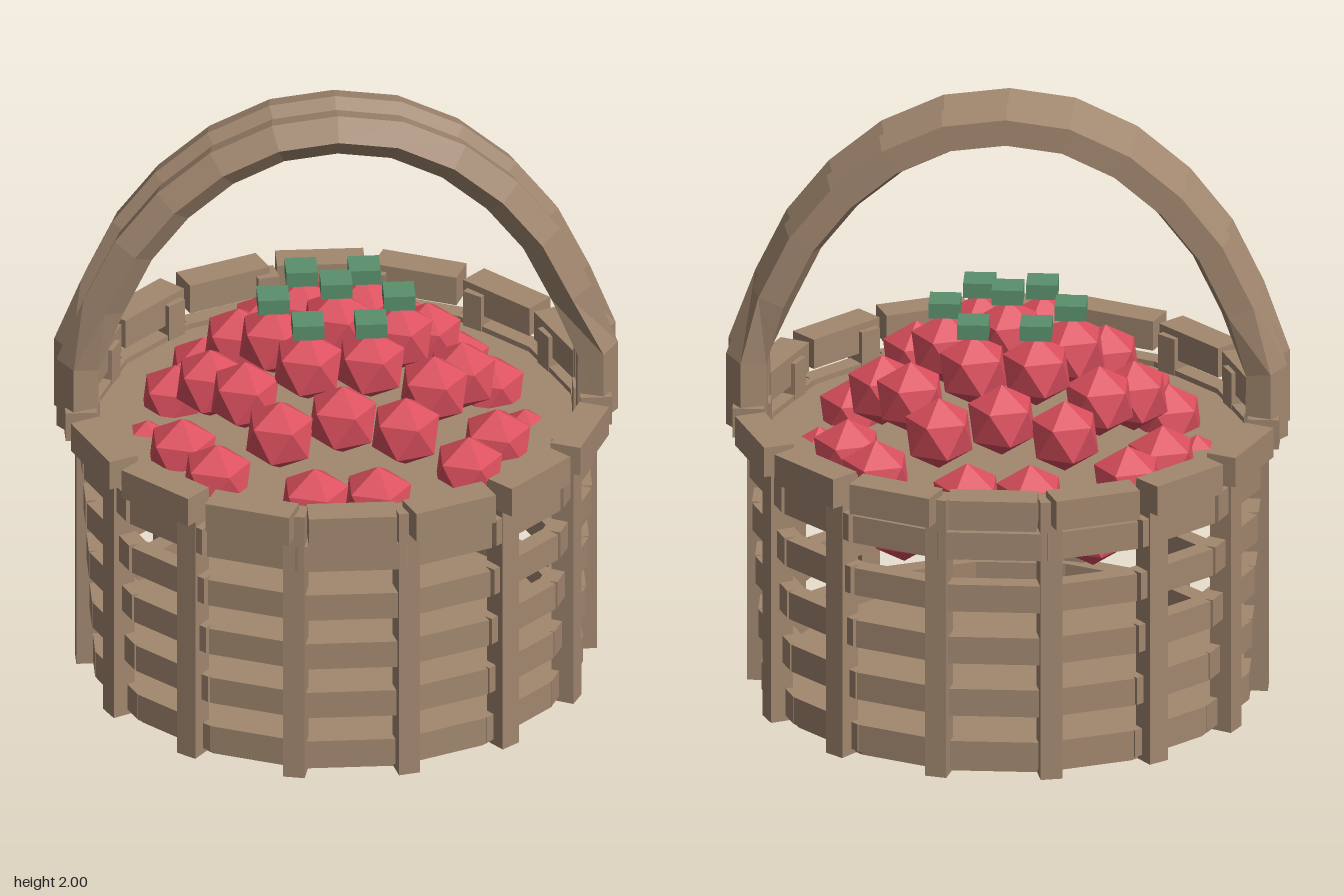
import * as THREE from 'three';

const mat = (color) => new THREE.MeshStandardMaterial({ color, flatShading: true });
const wood = mat(0xa1876f);
const red = mat(0xdb4f5e);
const green = mat(0x5a8f6b);

function add(parent, name, geometry, material, x = 0, y = 0, z = 0, turn = 0) {
  const mesh = new THREE.Mesh(geometry, material);
  mesh.name = name;
  mesh.position.set(x, y, z);
  mesh.rotation.y = turn;
  parent.add(mesh);
  return mesh;
}

// Boxes standing in a circle, each facing outward
function ring(parent, name, count, radius, y, size) {
  const group = new THREE.Group();
  group.name = name;
  const box = new THREE.BoxGeometry(...size);
  for (let i = 0; i < count; i++) {
    const a = Math.PI / 2 + (i / count) * Math.PI * 2;
    add(group, name + 'Piece', box, wood, Math.sin(a) * radius, y, Math.cos(a) * radius, a);
  }
  parent.add(group);
}

// Five-sided strand swept along the arch, turning slightly at its feet
function strandGeometry() {
  const half = [[0.82, 0.89], [0.82, 1.12], [0.745, 1.33], [0.65, 1.53], [0.525, 1.69], [0.37, 1.82], [0.19, 1.905]];
  const path = [...half, [0, 1.93], ...half.slice().reverse().map(([x, y]) => [-x, y])];
  const sides = 5, radius = 0.073, last = path.length - 1;
  const pos = [], index = [];
  path.forEach(([x, y], i) => {
    const p = path[Math.max(i - 1, 0)], n = path[Math.min(i + 1, last)];
    const t = new THREE.Vector2(n[0] - p[0], n[1] - p[1]).normalize();
    const foot = i < 2 || i > last - 2;
    const phase = THREE.MathUtils.degToRad(foot ? 90 : 70);
    for (let s = 0; s < sides; s++) {
      const a = phase + (s / sides) * Math.PI * 2;
      const out = Math.sin(a) * radius;
      pos.push(x + t.y * out, y - t.x * out, Math.cos(a) * radius);
    }
  });
  for (let i = 0; i < last; i++) {
    for (let s = 0; s < sides; s++) {
      const a = i * sides + s, b = i * sides + (s + 1) % sides;
      index.push(a, a + sides, b, b, a + sides, b + sides);
    }
  }
  // End caps
  const e = last * sides;
  for (let s = 1; s < sides - 1; s++) index.push(0, s, s + 1, e, e + s + 1, e + s);
  const g = new THREE.BufferGeometry();
  g.setAttribute('position', new THREE.Float32BufferAttribute(pos, 3));
  g.setIndex(index);
  // Make sure the faces point outward, judged by the signed volume
  let volume = 0;
  const v = [0, 1, 2].map(() => new THREE.Vector3());
  for (let i = 0; i < index.length; i += 3) {
    v.forEach((c, k) => c.fromArray(pos, index[i + k] * 3));
    volume += v[0].dot(v[1].clone().cross(v[2]));
  }
  if (volume < 0) g.setIndex(index.slice().reverse());
  const flat = g.toNonIndexed();
  flat.computeVertexNormals();
  return flat;
}

export function createModel() {
  const model = new THREE.Group();
  model.name = 'fruitBasket';

  // Floor and the shelf that carries the fruit
  add(model, 'floor', new THREE.CylinderGeometry(0.77, 0.77, 0.04, 16), wood, 0, 0.022, 0, Math.PI / 16);
  add(model, 'shelf', new THREE.CylinderGeometry(0.78, 0.78, 0.04, 16), wood, 0, 0.805, 0, Math.PI / 16);

  // Upright posts, horizontal bands widening upward, and the rim
  ring(model, 'posts', 14, 0.79, 0.475, [0.07, 0.95, 0.075]);
  for (let i = 0; i < 5; i++) {
    const outer = 0.775 + i * 0.01;
    ring(model, 'band', 16, outer - 0.03, 0.065 + i * 0.183, [0.305, 0.092, 0.06]);
  }
  ring(model, 'rim', 16, 0.818, 0.923, [0.28, 0.1, 0.1]);

  // Two handle strands side by side
  const strand = strandGeometry();
  for (const z of [-0.065, 0.065]) add(model, 'handleStrand', strand, wood, 0, 0, z);

  // Fruit heaped in a honeycomb dome, leaves on the innermost seven
  const fruit = new THREE.IcosahedronGeometry(0.12, 0);
  fruit.rotateX(-Math.atan((1 + Math.sqrt(5)) / 2));
  fruit.rotateY(Math.PI / 2);
  const leaf = new THREE.BoxGeometry(0.1, 0.05, 0.1);
  const heap = new THREE.Group();
  heap.name = 'fruitHeap';
  for (let q = -3; q <= 3; q++) {
    for (let r = -3; r <= 3; r++) {
      if (Math.abs(q + r) > 3) continue;
      const x = 0.2 * (q + r / 2), z = 0.2 * r * Math.sqrt(0.75);
      const d2 = x * x + z * z;
      const y = 1.19 - 1.25 * d2;
      add(heap, 'fruit', fruit, red, x, y, z);
      if (d2 < 0.05) add(heap, 'leaf', leaf, green, x, y + 0.145, z);
    }
  }
  model.add(heap);
  return model;
}
